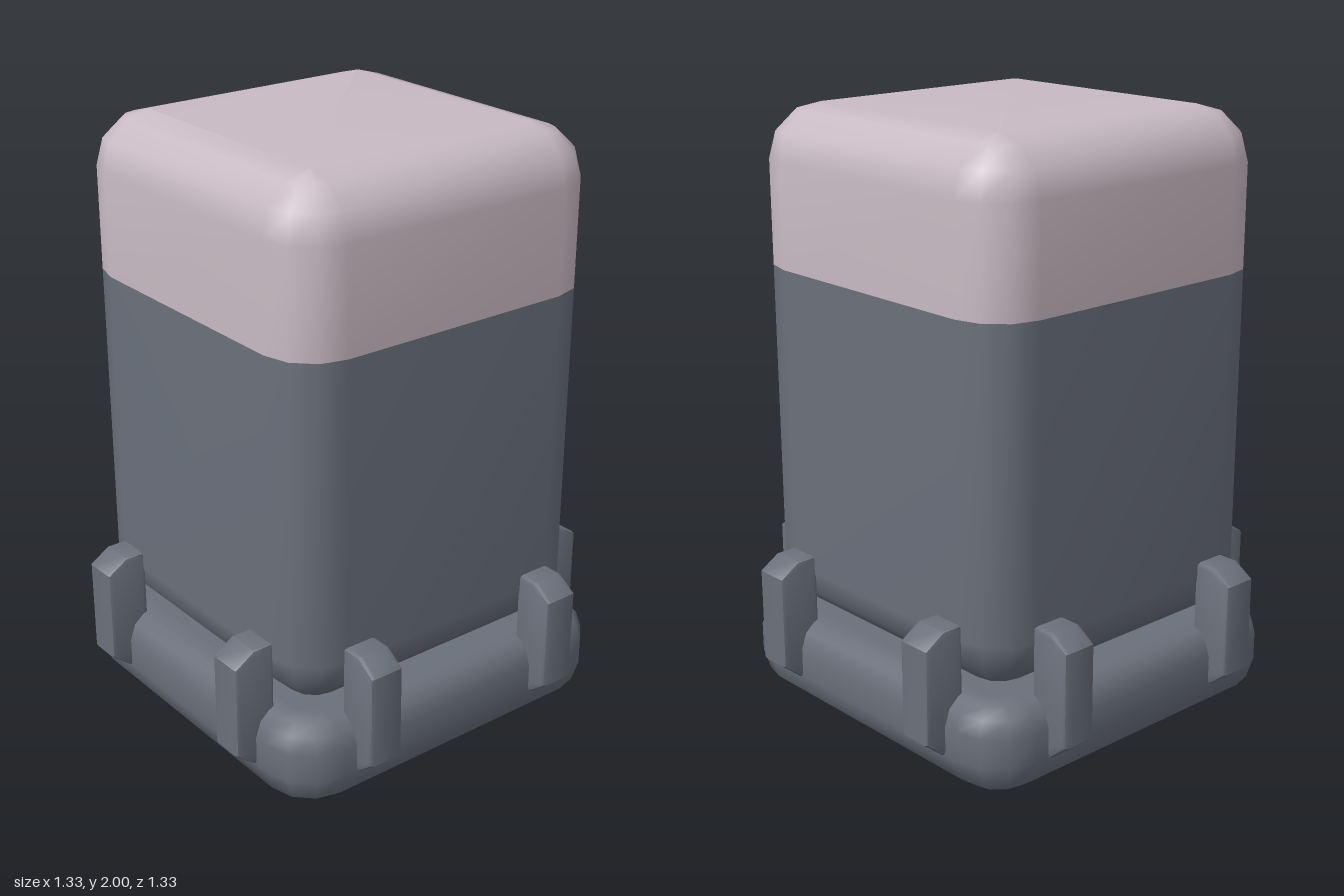
import * as THREE from 'three';
import { RoundedBoxGeometry } from 'three/addons/geometries/RoundedBoxGeometry.js';
import { toCreasedNormals } from 'three/addons/utils/BufferGeometryUtils.js';

const CORNER_STEPS = 3;

// Stack of rounded squares: each profile entry is [half width, height].
// The corner arcs stay centred at +-core, so the corners are round in both directions.
function roundedSquareLoft(profile, core, capBottom, capTop) {
  const positions = [], index = [];
  const n = 4 * (CORNER_STEPS + 1);
  for (const [half, y] of profile) {
    const r = half - core;
    for (let q = 0; q < 4; q++) {
      const mid = (q + 0.5) * Math.PI / 2;
      const cx = Math.sign(Math.sin(mid)) * core, cz = Math.sign(Math.cos(mid)) * core;
      for (let s = 0; s <= CORNER_STEPS; s++) {
        const a = (q + s / CORNER_STEPS) * Math.PI / 2;
        positions.push(cx + r * Math.sin(a), y, cz + r * Math.cos(a));
      }
    }
  }
  for (let j = 0; j < profile.length - 1; j++) {
    for (let i = 0; i < n; i++) {
      const a = j * n + i, b = j * n + (i + 1) % n;
      index.push(a, b, b + n, a, b + n, a + n);
    }
  }
  const last = (profile.length - 1) * n;
  for (let i = 1; i < n - 1; i++) {
    if (capBottom) index.push(0, i + 1, i);
    if (capTop) index.push(last, last + i, last + i + 1);
  }
  const g = new THREE.BufferGeometry();
  g.setAttribute('position', new THREE.Float32BufferAttribute(positions, 3));
  g.setIndex(index);
  g.computeVertexNormals();
  return g;
}

function material(name, color) {
  const m = new THREE.MeshStandardMaterial({ color });
  m.name = name;
  return m;
}

function add(parent, name, geometry, mat) {
  const mesh = new THREE.Mesh(geometry, mat);
  mesh.name = name;
  parent.add(mesh);
  return mesh;
}

export function createModel() {
  const model = new THREE.Group();
  model.name = 'canister';
  const grey = material('slate grey', 0x6a707b);
  const pink = material('pale pink', 0xc8bac3);
  const blue = material('blue', 0x4c68bc);

  // Body with a pale upper band and lid
  const split = 1.525;
  add(model, 'lowerBody', roundedSquareLoft(
    [[0.385, 0.44], [0.46, 0.461], [0.519, 0.52], [0.54, 0.6], [0.54, split]],
    0.38, true, false), grey);
  add(model, 'upperBody', roundedSquareLoft(
    [[0.54, split], [0.54, 1.84], [0.519, 1.92], [0.46, 1.979], [0.385, 2]],
    0.38, false, true), pink);

  // Tray the body sits in
  add(model, 'baseTray', roundedSquareLoft(
    [[0.46, 0.155], [0.53, 0.168], [0.58, 0.205], [0.6, 0.27], [0.6, 0.36],
      [0.583, 0.41], [0.55, 0.438], [0.5, 0.445]],
    0.44, true, true), grey);

  // Twelve-sided foot disc
  const discProfile = [[0, 0.08], [0.37, 0.08], [0.39, 0.088], [0.4, 0.11], [0.4, 0.2]]
    .map(([x, y]) => new THREE.Vector2(x, y));
  add(model, 'footDisc', toCreasedNormals(new THREE.LatheGeometry(discProfile, 12), 0.7), grey);

  // Cross-shaped plug underneath
  const plug = new THREE.Group();
  plug.name = 'crossPlug';
  model.add(plug);
  for (const turn of [0, Math.PI / 2]) {
    const bar = add(plug, 'plugBar', new RoundedBoxGeometry(0.4, 0.12, 0.14, 2, 0.03), blue);
    bar.position.y = 0.06;
    bar.rotation.y = turn;
  }

  // Clips: chamfered on the outer edge, two on every side
  const bevel = 0.015;
  const outline = new THREE.Shape([
    [0.545, 0.28], [0.595, 0.28], [0.65, 0.325], [0.65, 0.6], [0.595, 0.635], [0.545, 0.635],
  ].map(([x, y]) => new THREE.Vector2(x, y)));
  const clipGeometry = toCreasedNormals(new THREE.ExtrudeGeometry(outline, {
    depth: 0.115 - 2 * bevel, bevelEnabled: true, bevelSize: bevel,
    bevelThickness: bevel, bevelSegments: 2,
  }).translate(0, 0, -0.0575 + bevel), 0.6);
  for (let side = 0; side < 4; side++) {
    const pair = new THREE.Group();
    pair.name = 'clipPair';
    pair.rotation.y = side * Math.PI / 2;
    for (const s of [-1, 1]) add(pair, 'clip', clipGeometry, grey).position.z = s * 0.337;
    model.add(pair);
  }
  return model;
}
